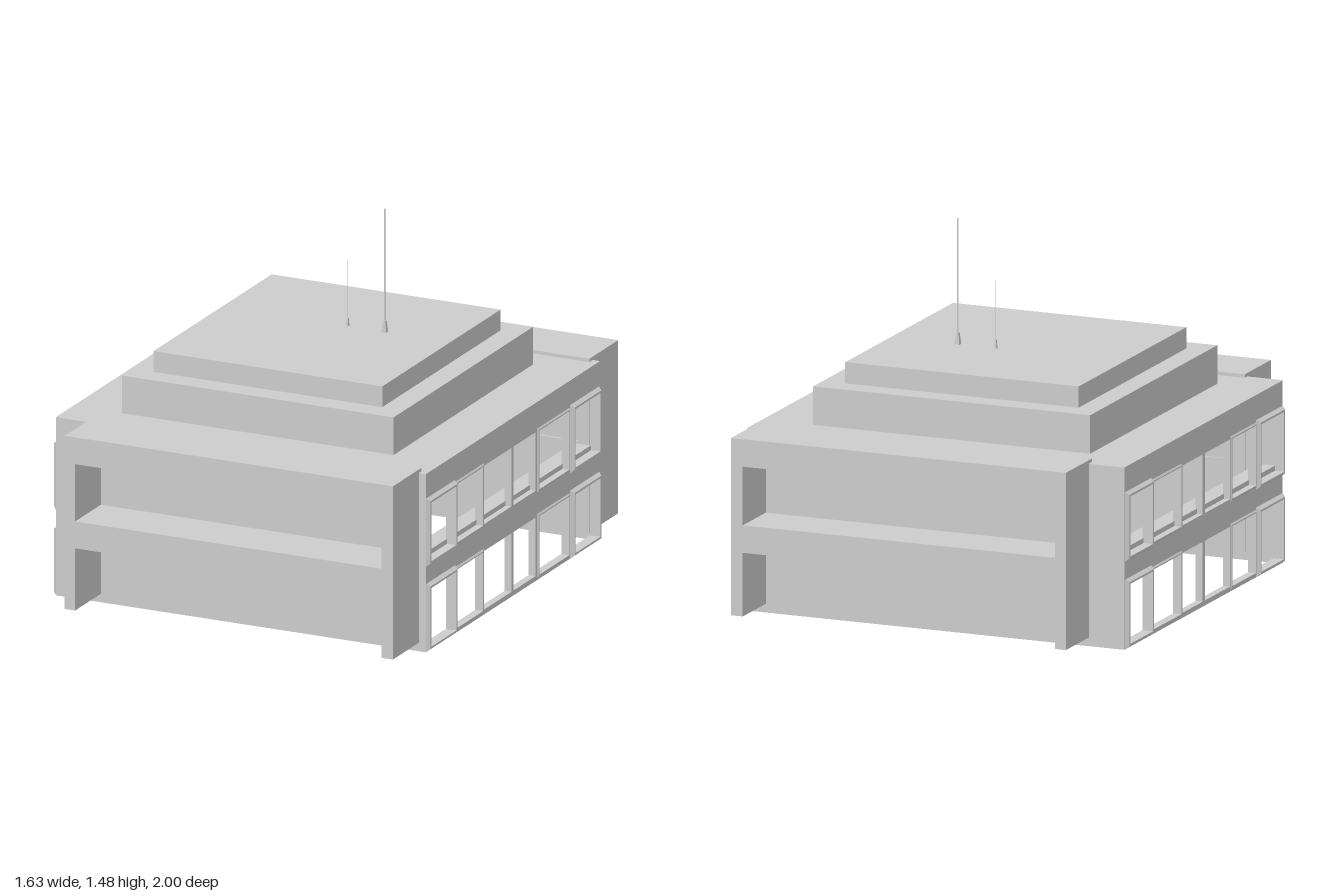
import * as THREE from 'three';

const material = new THREE.MeshStandardMaterial({ color: 0xcccccc, flatShading: true, side: THREE.DoubleSide });

function add(parent, name, geometry) {
  const mesh = new THREE.Mesh(geometry, material);
  mesh.name = name;
  parent.add(mesh);
  return mesh;
}

// Box given by its limits on each axis
function box(parent, name, [x0, x1], [y0, y1], [z0, z1]) {
  const g = new THREE.BoxGeometry(x1 - x0, y1 - y0, z1 - z0);
  g.translate((x0 + x1) / 2, (y0 + y1) / 2, (z0 + z1) / 2);
  return add(parent, name, g);
}

// Skin between successive four-cornered loops, optionally capped at the end
function loft(loops, cap = false) {
  const index = [];
  for (let i = 0; i < loops.length - 1; i++) {
    for (let k = 0; k < 4; k++) {
      const a = i * 4 + k, b = i * 4 + (k + 1) % 4;
      index.push(a, b, b + 4, a, b + 4, a + 4);
    }
  }
  if (cap) {
    const n = (loops.length - 1) * 4;
    index.push(n, n + 1, n + 2, n, n + 2, n + 3);
  }
  const indexed = new THREE.BufferGeometry();
  indexed.setAttribute('position', new THREE.Float32BufferAttribute(loops.flat(2), 3));
  indexed.setIndex(index);
  const g = indexed.toNonIndexed();
  g.computeVertexNormals();
  return g;
}

function rectPath(Type, x0, x1, y0, y1) {
  return new Type([[x0, y0], [x1, y0], [x1, y1], [x0, y1]].map(p => new THREE.Vector2(...p)));
}

const extrude = (shape, depth) => new THREE.ExtrudeGeometry(shape, { depth, bevelEnabled: false });

// Window columns along z and rows along y
const columns = [[0.53, 0.75], [0.27, 0.50], [0.01, 0.255], [-0.205, -0.01], [-0.495, -0.23], [-0.75, -0.53]];
const rows = [[0.02, 0.26], [0.37, 0.61]];

function addSide(parent, side) {
  const group = new THREE.Group();
  group.name = side > 0 ? 'leftSide' : 'rightSide';
  parent.add(group);

  // Wall with two rows of openings
  const wall = rectPath(THREE.Shape, -0.77, 0.775, 0, 0.73);
  for (const [y0, y1] of rows) {
    for (const [z0, z1] of columns) wall.holes.push(rectPath(THREE.Path, -z1, -z0, y0, y1));
  }
  const g = extrude(wall, 0.03);
  g.rotateY(Math.PI / 2);
  g.translate(side > 0 ? 0.77 : -0.80, 0, 0);
  add(group, 'windowWall', g);

  // Inner ledge between the storeys
  const ledge = side > 0 ? [0.70, 0.775] : [-0.775, -0.70];
  box(group, 'floorLedge', ledge, [0.275, 0.39], [-0.76, 0.755]);

  // Raised, chamfered surrounds: deep at the corners, shallow beside them
  for (const [y0, y1] of rows) {
    columns.forEach(([z0, z1], i) => {
      if (i === 2 || i === 3) return;
      const deep = i === 0 || i === 5;
      const loop = (x, grow) => {
        const a = z0 - grow, b = z1 + grow, c = y0 - grow, d = y1 + grow;
        const pts = [[side * x, c, b], [side * x, c, a], [side * x, d, a], [side * x, d, b]];
        return side > 0 ? pts : pts.reverse();
      };
      const top = deep ? 0.815 : 0.805, out = deep ? 0.02 : 0.012;
      add(group, deep ? 'cornerWindowSurround' : 'windowSurround',
        loft([loop(0.799, out), loop(top, out * 0.4), loop(top, 0), loop(0.77, 0)]));
    });
  }
}

function addPortico(parent, name, z) {
  // Two fins joined by an upper and a middle beam
  const s = new THREE.Shape([
    [-0.65, 0.035], [-0.605, 0.035], [-0.605, 0.29], [0.72, 0.29],
    [0.72, 0.035], [0.77, 0.035], [0.77, 0.745], [-0.65, 0.745],
  ].map(p => new THREE.Vector2(...p)));
  s.holes.push(rectPath(THREE.Path, -0.605, 0.72, 0.40, 0.635));
  add(parent, name, extrude(s, 0.255)).position.z = z;
}

function addAntenna(parent, name, x, z, baseWidth, baseTop, mastRadius, top) {
  const group = new THREE.Group();
  group.name = name;
  group.position.set(x, 0.97, z);
  parent.add(group);
  const h = baseTop - 0.97, r = baseWidth / Math.SQRT2;
  const base = new THREE.CylinderGeometry(r * 0.55, r, h, 4);
  base.rotateY(Math.PI / 4);
  base.translate(0, h / 2, 0);
  add(group, 'antennaBase', base);
  const mast = new THREE.CylinderGeometry(mastRadius, mastRadius, top - baseTop, 6);
  mast.translate(0, (top + baseTop) / 2 - 0.97, 0);
  add(group, 'antennaMast', mast);
}

export function createModel() {
  const model = new THREE.Group();
  model.name = 'building';

  // Solid end walls
  box(model, 'frontWall', [-0.80, 0.80], [0, 0.73], [0.752, 0.77]);
  box(model, 'backWall', [-0.80, 0.80], [0, 0.73], [-0.775, -0.757]);

  addSide(model, 1);
  addSide(model, -1);

  // Stepped roof, hollow underneath
  const level = (x0, x1, z0, z1, y) => [[x0, y, z1], [x1, y, z1], [x1, y, z0], [x0, y, z0]];
  const lower = [-0.59, 0.585, -0.625, 0.615], upper = [-0.50, 0.49, -0.53, 0.52];
  add(model, 'steppedRoof', loft([
    level(-0.80, 0.80, -0.775, 0.77, 0.731),
    level(...lower, 0.731), level(...lower, 0.885),
    level(...upper, 0.885), level(...upper, 0.97),
  ], true));

  addPortico(model, 'frontPortico', 0.745);
  addPortico(model, 'backPortico', -1);

  addAntenna(model, 'tallAntenna', 0.205, -0.087, 0.02, 1.017, 0.003, 1.475);
  addAntenna(model, 'shortAntenna', 0.043, -0.09, 0.011, 1.003, 0.0015, 1.24);

  return model;
}
